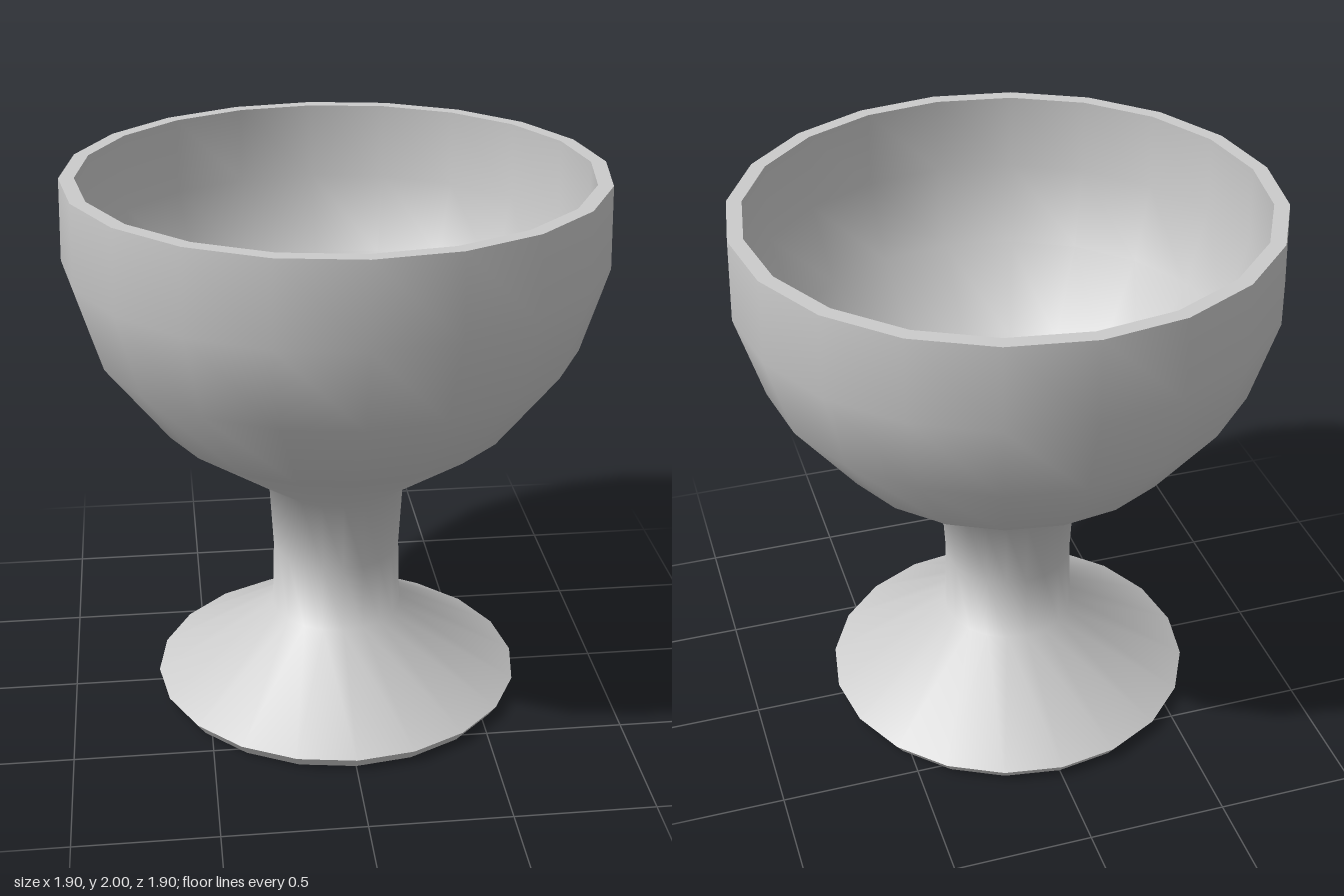
import * as THREE from 'three';

const material = new THREE.MeshStandardMaterial({ color: 0xcccccc });
const SIDES = 20;

// Revolve a run of [radius, height] points; separate runs keep sharp edges between them
function turned(name, profile) {
  const points = profile.map(([r, y]) => new THREE.Vector2(r, y));
  const mesh = new THREE.Mesh(new THREE.LatheGeometry(points, SIDES), material);
  mesh.name = name;
  return mesh;
}

export function createModel() {
  const goblet = new THREE.Group();
  goblet.name = 'goblet';

  goblet.add(
    // hollow underside of the foot, closed below the stem
    turned('footUnderside', [[0, 0.27], [0.19, 0.27], [0.65, 0]]),
    // bevelled edge of the foot
    turned('footEdge', [[0.65, 0], [0.682, 0.045]]),
    // foot, stem and bowl flow into one another
    turned('outerWall', [
      [0.682, 0.045], [0.242, 0.315], [0.235, 0.57], [0.25, 0.835],
      [0.635, 1.11], [0.86, 1.405], [0.952, 1.71], [0.943, 2],
    ]),
    // flat lip
    turned('rim', [[0.943, 2], [0.89, 2]]),
    // inside of the bowl
    turned('innerWall', [
      [0.89, 2], [0.9, 1.72], [0.815, 1.435], [0.6, 1.15], [0.19, 0.865],
    ]),
    turned('bowlFloor', [[0.19, 0.865], [0.09, 0.86], [0, 0.86]]),
  );

  return goblet;
}
